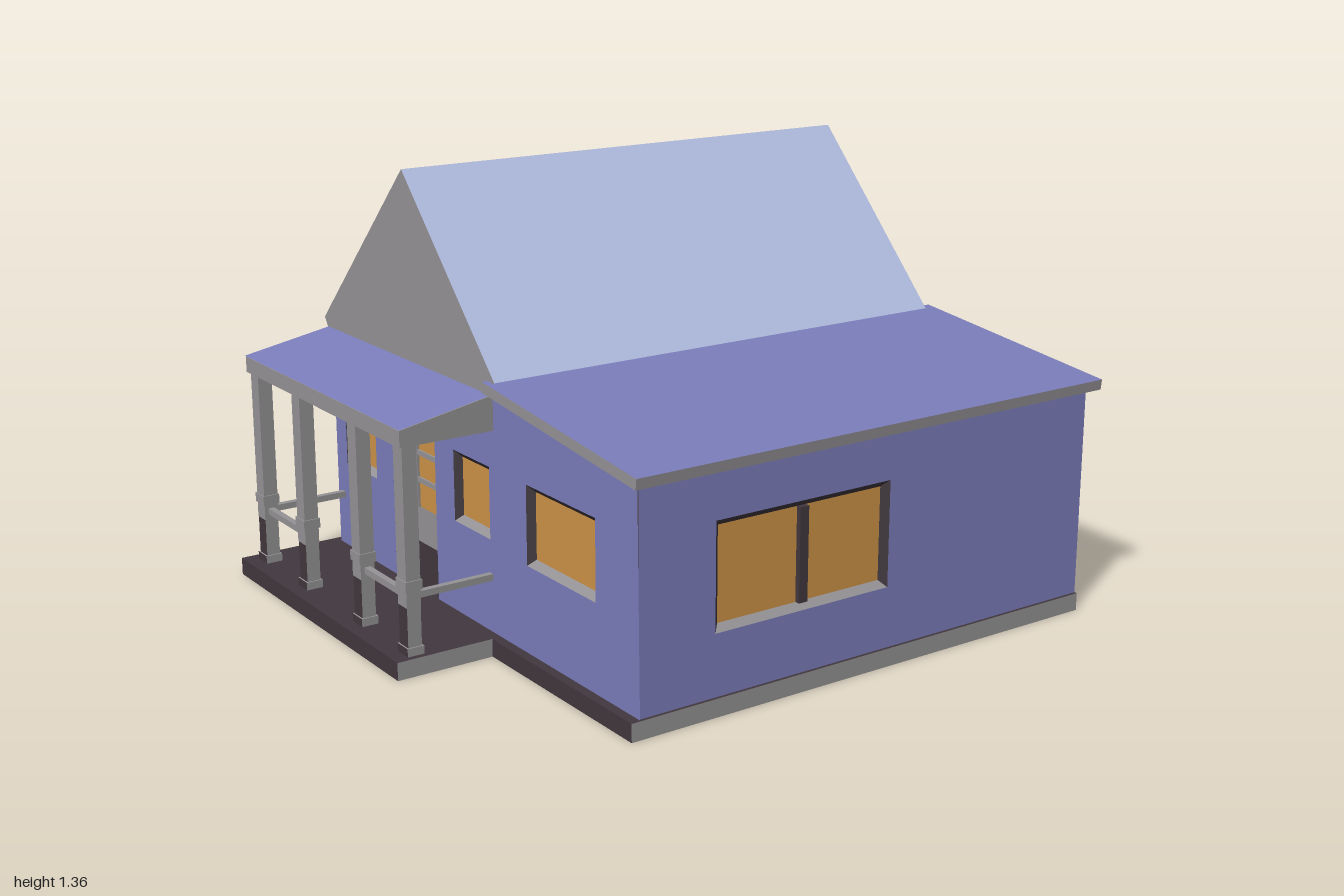
import * as THREE from 'three';

const mat = (name, color) => {
  const m = new THREE.MeshStandardMaterial({ color, side: THREE.DoubleSide });
  m.name = name;
  return m;
};

export function createModel() {
  const house = new THREE.Group();
  house.name = 'house';

  const blue = mat('blue paint', 0x7b7dbb);
  const pale = mat('pale roof', 0xb0bbde);
  const gray = mat('gray trim', 0x959395);
  const dark = mat('dark wood', 0x41383e);
  const plum = mat('dark plum wall', 0x4a3f4b);
  const amber = mat('amber glass', 0xcd9346);

  const add = (name, geo, material, parent = house) => {
    const m = new THREE.Mesh(geo, material);
    m.name = name;
    parent.add(m);
    return m;
  };
  // box given by its limits on each axis
  const box = (name, [x0, x1], [y0, y1], [z0, z1], material, parent) => {
    const m = add(name, new THREE.BoxGeometry(x1 - x0, y1 - y0, z1 - z0), material, parent);
    m.position.set((x0 + x1) / 2, (y0 + y1) / 2, (z0 + z1) / 2);
    return m;
  };
  // flat four-cornered face
  const quad = (name, corners, material, parent) => {
    const g = new THREE.BufferGeometry();
    g.setAttribute('position', new THREE.Float32BufferAttribute(corners.flat(), 3));
    g.setIndex([0, 1, 2, 0, 2, 3]);
    g.computeVertexNormals();
    return add(name, g, material, parent);
  };
  const path = (pts, Type = THREE.Shape) => new Type(pts.map(([x, y]) => new THREE.Vector2(x, y)));
  const rect = ([x0, x1, y0, y1]) => [[x0, y0], [x0, y1], [x1, y1], [x1, y0]];

  // recessed window with bevelled frame, in the local XY plane of its wall
  const addWindow = (wall, [x0, x1, y0, y1], mullion = false) => {
    const w = new THREE.Group();
    w.name = 'window';
    wall.add(w);
    const b = 0.02, d = -0.02;
    const outer = [[x0, y0, 0], [x1, y0, 0], [x1, y1, 0], [x0, y1, 0]];
    const inner = [[x0 + b, y0 + b, d], [x1 - b, y0 + b, d], [x1 - b, y1 - b, d], [x0 + b, y1 - b, d]];
    for (let i = 0; i < 4; i++) {
      const j = (i + 1) % 4;
      quad(i === 0 ? 'sill' : 'frameSide', [outer[i], outer[j], inner[j], inner[i]], i === 0 ? gray : dark, w);
    }
    quad('glass', inner, amber, w);
    const c = (x0 + x1) / 2;
    if (mullion) box('mullion', [c - 0.015, c + 0.015], [y0 + b, y1 - b], [d, -0.004], dark, w);
  };
  const addWall = (name, outline, windows, openings, position, angle, mullion) => {
    const wall = new THREE.Group();
    wall.name = name;
    wall.position.set(...position);
    wall.rotation.y = angle;
    house.add(wall);
    const s = path(outline);
    for (const r of [...windows, ...openings]) s.holes.push(path(rect(r), THREE.Path));
    for (const r of windows) addWindow(wall, r, mullion);
    add('wallPanel', new THREE.ShapeGeometry(s), blue, wall);
  };

  // floor sheet, with skirts hanging to the ground on every side but the back
  const fy = 0.055;
  const rim = [[-0.9, -0.97], [-0.9, 1], [0.155, 1], [0.155, 0.69], [0.87, 0.69], [0.87, -0.97]];
  const floor = new THREE.ShapeGeometry(path(rim.map(([x, z]) => [x, -z])));
  floor.rotateX(-Math.PI / 2);
  add('floor', floor, dark).position.y = fy;
  const skirtColors = [dark, dark, gray, dark, gray];
  skirtColors.forEach((m, i) => {
    const [ax, az] = rim[i], [bx, bz] = rim[i + 1];
    quad('floorSkirt', [[ax, 0, az], [bx, 0, bz], [bx, fy, bz], [ax, fy, az]], m);
  });

  // front and wing side walls
  const door = [-0.483, -0.213, fy, 0.58];
  addWall('frontWall', [[-0.87, 0.05], [0.865, 0.05], [0.855, 0.71], [0.14, 0.785], [-0.87, 0.785]],
    [[-0.8, -0.595, 0.34, 0.56], [-0.1, 0.105, 0.34, 0.56], [0.307, 0.657, 0.32, 0.56]], [door], [0, 0, 0.66], 0);
  addWall('wingSideWall', [[-0.66, 0.05], [0.97, 0.05], [0.97, 0.715], [-0.66, 0.715]],
    [[-0.41, 0.2, 0.24, 0.56]], [], [0.86, 0, 0], Math.PI / 2, true);

  // two-tone side wall, each band notched around the windows
  const sideWall = new THREE.Group();
  sideWall.name = 'mainSideWall';
  sideWall.position.x = -0.87;
  sideWall.rotation.y = -Math.PI / 2;
  house.add(sideWall);
  const spans = [[-0.8, -0.31], [0.005, 0.495]];
  const split = 0.53, back = -0.955;
  for (const [name, far, notch, m] of [['lowerBand', 0.05, 0.335, plum], ['upperBand', 0.79, 0.585, blue]]) {
    const pts = [[back, split]];
    for (const [a, b] of spans) pts.push([a, split], [a, notch], [b, notch], [b, split]);
    pts.push([0.66, split], [0.66, far], [back, far]);
    add(name, new THREE.ShapeGeometry(path(pts)), m, sideWall);
  }
  for (const [a, b] of spans) addWindow(sideWall, [a, b, 0.335, 0.585]);

  // gable roof, open at the back
  const zf = 0.67, ridge = [-0.35, 1.36];
  quad('roofSlopeRight', [[-0.9, 0.81, back], [-0.9, 0.81, zf], [...ridge, zf], [...ridge, back]], blue);
  quad('roofSlopeLeft', [[0.163, 0.822, zf], [0.163, 0.822, back], [...ridge, back], [...ridge, zf]], pale);
  add('frontGable', new THREE.ShapeGeometry(path(
    [[-0.88, 0.78], [0.14, 0.78], [0.163, 0.822], ridge, [-0.9, 0.81]])), gray).position.z = zf;
  quad('eaveFascia', [[-0.88, 0.78, back], [-0.88, 0.78, zf], [-0.9, 0.81, zf], [-0.9, 0.81, back]], dark);

  // sloping wing roof
  const wingRoof = add('wingRoof', new THREE.BoxGeometry(0.772, 0.032, 1.69), [gray, gray, blue, blue, gray, blue]);
  wingRoof.position.set(0.509, 0.763, -0.155);
  wingRoof.rotation.z = -0.111;

  // porch roof wedge and its painted top
  const wedge = new THREE.ExtrudeGeometry(path([[0.66, 0.675], [0.96, 0.675], [0.96, 0.725], [0.66, 0.78]]),
    { depth: 1.01, bevelEnabled: false });
  wedge.rotateY(-Math.PI / 2);
  add('porchRoof', wedge, gray).position.x = 0.135;
  quad('porchRoofTop', [[-0.875, 0.728, 0.963], [0.14, 0.728, 0.963], [0.14, 0.784, 0.66], [-0.875, 0.784, 0.66]], blue);

  // porch columns with collars and dark-fronted feet
  const foot = [gray, gray, gray, gray, dark, gray];
  const columns = [-0.833, -0.541, -0.173, 0.107];
  for (const x of columns) {
    const col = new THREE.Group();
    col.name = 'porchColumn';
    col.position.set(x, 0, 0.93);
    house.add(col);
    const part = (name, r, y, m) => box(name, [-r, r], y, [0.003 - r, r - 0.003], m, col);
    part('foot', 0.03, [fy, 0.08], foot);
    part('lowerPost', 0.025, [0.08, 0.2], foot);
    part('collar', 0.026, [0.2, 0.25], gray);
    part('collarCap', 0.03, [0.25, 0.28], gray);
    part('upperPost', 0.026, [0.28, 0.68], gray);
  }

  // railings between outer column pairs and back to the wall
  for (const [a, b] of [[0, 1], [2, 3]])
    box('frontRail', [columns[a], columns[b]], [0.217, 0.237], [0.92, 0.94], gray);
  for (const x of [columns[0], columns[3]])
    box('sideRail', [x - 0.01, x + 0.01], [0.217, 0.237], [0.66, 0.93], gray);

  // recessed front door in three bands, with glazing bars and jambs
  const [d0, d1, , dTop] = door;
  const dx = [d0, d1], dz = [0.638, 0.645];
  box('doorBase', dx, [fy, 0.2], dz, dark);
  box('doorPanel', dx, [0.2, 0.315], dz, gray);
  box('doorGlass', dx, [0.315, dTop], dz, amber);
  box('doorBarUpright', [-0.359, -0.339], [0.315, dTop], [0.645, 0.653], gray);
  for (const y of [0.405, 0.492])
    box('doorBarCross', dx, [y - 0.008, y + 0.008], [0.645, 0.652], gray);
  for (const x of dx)
    quad('doorJamb', [[x, fy, 0.64], [x, fy, 0.66], [x, dTop, 0.66], [x, dTop, 0.64]], dark);
  quad('doorHead', [[d0, dTop, 0.64], [d1, dTop, 0.64], [d1, dTop, 0.66], [d0, dTop, 0.66]], dark);

  return house;
}
